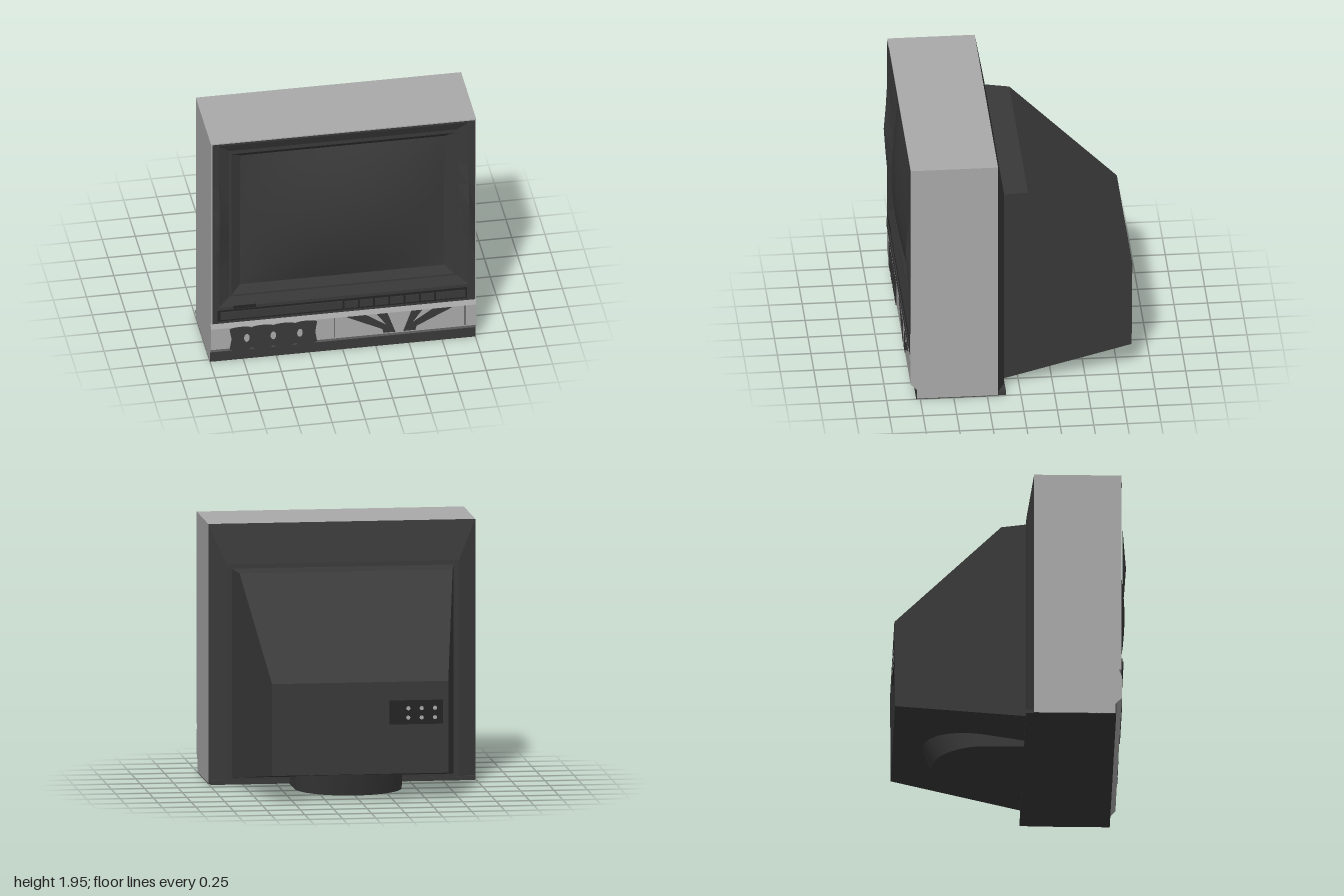
import * as THREE from 'three';

const mat = (name, color) => {
  const m = new THREE.MeshStandardMaterial({ color });
  m.name = name;
  return m;
};

// Extrude a [z, y] outline across x, centred on x = 0
function sideExtrude(points, width) {
  const shape = new THREE.Shape(points.map(p => new THREE.Vector2(p[0], p[1])));
  const g = new THREE.ExtrudeGeometry(shape, { depth: width, bevelEnabled: false });
  return g.rotateY(-Math.PI / 2).translate(width / 2, 0, 0);
}

// Join nested rectangles { w: half width, y0, y1, z, bow } into a stepped frame
function frameLoft(sections) {
  const n = 8, pos = [], idx = [], count = n * 4;
  for (const { w, y0, y1, z, bow = 0 } of sections) {
    const corners = [[-w, y0], [w, y0], [w, y1], [-w, y1]];
    for (let s = 0; s < 4; s++) {
      const a = corners[s], b = corners[(s + 1) % 4];
      for (let i = 0; i < n; i++) {
        const t = i / n, y = a[1] + (b[1] - a[1]) * t;
        const bulge = bow * Math.max(0, 1 - Math.abs(y - 1.2) / 0.37);
        pos.push(a[0] + (b[0] - a[0]) * t, y, z + bulge);
      }
    }
  }
  for (let k = 0; k < sections.length - 1; k++) {
    for (let j = 0; j < count; j++) {
      const a = k * count + j, b = k * count + (j + 1) % count;
      idx.push(a, b, b + count, a, b + count, a + count);
    }
  }
  let g = new THREE.BufferGeometry();
  g.setAttribute('position', new THREE.Float32BufferAttribute(pos, 3));
  g.setIndex(idx);
  g = g.toNonIndexed();
  g.computeVertexNormals();
  return g;
}

export function createModel() {
  const model = new THREE.Group();
  model.name = 'television';
  const light = mat('cabinetGrey', 0xa9a9a9);
  const dark = mat('charcoal', 0x393939);
  const black = mat('socketBlack', 0x242424);

  const add = (name, geometry, material, parent = model) => {
    const mesh = new THREE.Mesh(geometry, material);
    mesh.name = name;
    parent.add(mesh);
    return mesh;
  };
  const box = (name, x0, x1, y0, y1, z0, z1, material, parent) =>
    add(name, new THREE.BoxGeometry(x1 - x0, y1 - y0, z1 - z0)
      .translate((x0 + x1) / 2, (y0 + y1) / 2, (z0 + z1) / 2), material, parent);
  const plate = (name, shape, z, material) =>
    add(name, new THREE.ExtrudeGeometry(shape, { depth: 0.004, bevelEnabled: false })
      .translate(0, 0, z), material);
  const polygon = pts => new THREE.Shape(pts.map(p => new THREE.Vector2(p[0], p[1])));

  // Cabinet: hollow upper shell over a solid lower body
  const wall = polygon([[-1, 0.36], [1, 0.36], [1, 1.95], [-1, 1.95]]);
  wall.holes.push(new THREE.Path([[-0.985, 0.37], [-0.985, 1.935], [0.985, 1.935], [0.985, 0.37]]
    .map(p => new THREE.Vector2(p[0], p[1]))));
  add('cabinetShell', new THREE.ExtrudeGeometry(wall, { depth: 0.65, bevelEnabled: false })
    .translate(0, 0, 0.17), light);
  add('lowerCabinet', sideExtrude([[0.17, 0.004], [0.775, 0.004], [0.775, 0.08], [0.822, 0.13],
    [0.822, 0.31], [0.80, 0.36], [0.17, 0.36]], 2), light);
  box('bottomPlate', -1, 1, 0, 0.006, 0.17, 0.775, dark);
  box('baseStrip', -1, 1, 0, 0.08, 0.774, 0.78, dark);

  // Stepped screen surround
  add('screenBezel', frameLoft([
    { w: 0.99, y0: 0.36, y1: 1.945, z: 0.825 },
    { w: 0.94, y0: 0.50, y1: 1.93, z: 0.825, bow: 0.03 },
    { w: 0.86, y0: 0.57, y1: 1.86, z: 0.795 },
    { w: 0.84, y0: 0.585, y1: 1.83, z: 0.795 },
    { w: 0.77, y0: 0.65, y1: 1.79, z: 0.76 },
  ]), dark);

  // Bulging picture tube
  const screen = new THREE.PlaneGeometry(1.54, 1.14, 16, 14);
  const sp = screen.attributes.position;
  for (let i = 0; i < sp.count; i++) {
    const u = sp.getX(i) / 0.77, v = sp.getY(i) / 0.57;
    sp.setZ(i, 0.105 * (1 - u * u) * (1 - v * v));
  }
  screen.computeVertexNormals();
  add('screen', screen.translate(0, 1.22, 0.76), dark);

  // Control strip and push buttons
  const controls = new THREE.Group();
  controls.name = 'controls';
  model.add(controls);
  box('controlGroove', -0.95, 0.93, 0.38, 0.475, 0.82, 0.827, black, controls);
  box('controlDoor', -0.93, -0.01, 0.395, 0.46, 0.82, 0.834, dark, controls);
  for (let i = 0; i < 6; i++) {
    box('button', 0.005 + i * 0.115, 0.105 + i * 0.115, 0.395, 0.455, 0.82, 0.834, dark, controls);
  }
  box('powerButton', 0.695, 0.915, 0.395, 0.455, 0.82, 0.834, dark, controls);
  box('indicator', -0.83, -0.66, 0.48, 0.505, 0.82, 0.828, black, controls);

  // Scalloped panel with three small openings
  const edge = [];
  for (let i = 0; i <= 32; i++) {
    const t = i / 32;
    edge.push([-0.86 + 0.66 * t, 0.088 + 0.014 * Math.sqrt(Math.abs(Math.sin(t * Math.PI * 4)))]);
  }
  const scallop = polygon([
    ...edge.map(([x, h]) => [x, 0.21 - h]), [-0.215, 0.21],
    ...edge.slice().reverse().map(([x, h]) => [x, 0.21 + h]), [-0.845, 0.21],
  ]);
  for (const x of [-0.73, -0.53, -0.33]) {
    const hole = new THREE.Path();
    hole.absellipse(x, 0.21, 0.021, 0.036, 0, Math.PI * 2, true);
    scallop.holes.push(hole);
  }
  plate('scallopedPanel', scallop, 0.822, dark);

  // Fanned stripes, mirrored about x = 0.42
  for (const s of [-1, 1]) {
    const at = pts => polygon(pts.map(([d, y]) => [0.42 + s * d, y]));
    plate('outerStripe', at([[0.40, 0.31], [0.25, 0.31], [0.05, 0.175], [0.03, 0.14], [0.12, 0.14], [0.13, 0.175]]), 0.822, dark);
    plate('innerStripe', at([[0.17, 0.31], [0.09, 0.31], [0.03, 0.14], [0.08, 0.19], [0.11, 0.225]]), 0.8225, dark);
  }
  // Fine outline of the stripe panel
  box('panelEdge', -0.072, -0.068, 0.14, 0.31, 0.82, 0.824, dark);
  box('panelEdge', 0.913, 0.917, 0.14, 0.31, 0.82, 0.824, dark);

  // Sloping back frame
  add('backFrame', frameLoft([
    { w: 1, y0: 0, y1: 1.95, z: -0.17 },
    { w: 0.87, y0: 0.02, y1: 1.65, z: -0.115 },
    { w: 0.75, y0: 0.1, y1: 1.5, z: -0.112 },
  ]).rotateY(Math.PI), dark);
  box('backSill', -0.99, 0.99, 0, 0.03, 0.11, 0.172, dark);

  // Rear housing, narrowing toward the back
  const housing = sideExtrude([[0.115, 0.05], [0.115, 1.62], [-0.07, 1.61], [-0.86, 0.89], [-0.855, 0.2]].reverse(), 2);
  const hp = housing.attributes.position;
  for (let i = 0; i < hp.count; i++) {
    hp.setX(i, hp.getX(i) * (0.66 + 0.17 * (hp.getZ(i) + 0.86) / 0.97));
  }
  housing.computeVertexNormals();
  add('rearHousing', housing, dark);

  // Socket panel on the back
  const sockets = new THREE.Group();
  sockets.name = 'socketPanel';
  model.add(sockets);
  box('socketPlate', -0.62, -0.22, 0.57, 0.75, -0.863, -0.85, black, sockets);
  for (let c = 0; c < 3; c++) {
    for (const y of [0.62, 0.69]) {
      add('socket', new THREE.CylinderGeometry(0.016, 0.016, 0.006, 8).rotateX(Math.PI / 2)
        .translate(-0.36 - c * 0.1, y, -0.864), light, sockets);
    }
  }

  // Round-ended foot under the housing
  const outline = new THREE.Shape();
  outline.moveTo(-0.4, -0.13);
  outline.lineTo(0.4, -0.13);
  outline.lineTo(0.4, 0.17);
  outline.absarc(0, 0.17, 0.4, 0, Math.PI, false);
  const foot = new THREE.ExtrudeGeometry(outline, { depth: 0.17, bevelEnabled: false, curveSegments: 16 });
  foot.rotateX(-Math.PI / 2);
  const fp = foot.attributes.position;
  for (let i = 0; i < fp.count; i++) {
    if (fp.getZ(i) < 0) fp.setZ(i, fp.getZ(i) * (1 + 0.7 * fp.getY(i)));
  }
  foot.computeVertexNormals();
  add('foot', foot, dark);

  return model;
}
